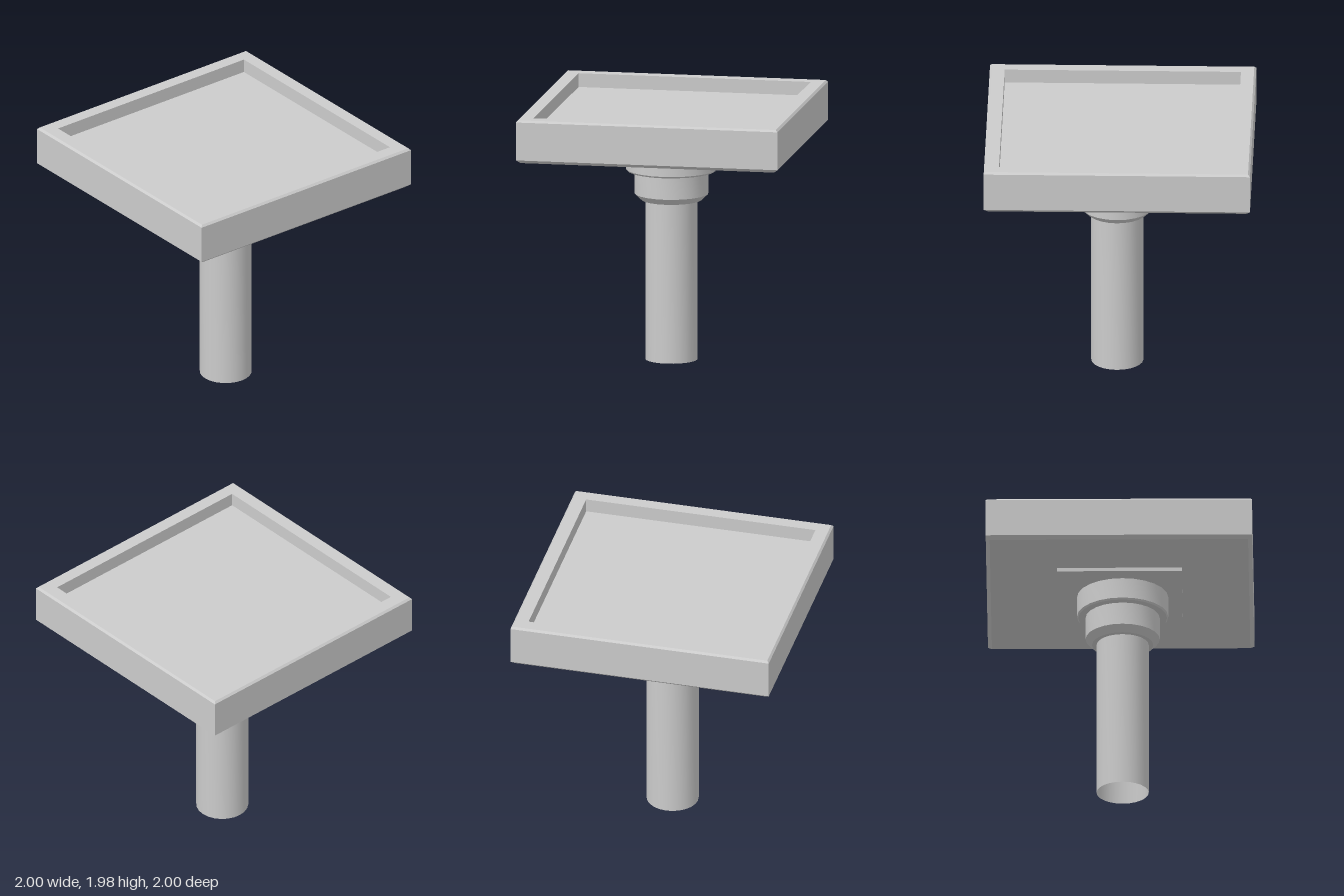
import * as THREE from 'three';
import { toCreasedNormals } from 'three/addons/utils/BufferGeometryUtils.js';

const material = new THREE.MeshStandardMaterial({ color: 0xcccccc });
const openMaterial = new THREE.MeshStandardMaterial({ color: 0xcccccc, side: THREE.DoubleSide });

// Profile of [radius, y] pairs turned about the y axis
function turned(name, profile, sides, mat = material) {
  const points = profile.map(([r, y]) => new THREE.Vector2(r, y));
  const geometry = toCreasedNormals(new THREE.LatheGeometry(points, sides), 0.5);
  const mesh = new THREE.Mesh(geometry, mat);
  mesh.name = name;
  return mesh;
}

// Square part: a four-sided turning, with profile given as [halfWidth, y]
function square(name, profile) {
  const mesh = turned(name, profile.map(([w, y]) => [w * Math.SQRT2, y]), 4);
  mesh.geometry.rotateY(Math.PI / 4);
  return mesh;
}

export function createModel() {
  const model = new THREE.Group();
  model.name = 'pedestalTray';

  // Chamfered square top with a recessed floor
  const top = square('trayTop', [
    [0, 1.645], [0.97, 1.645], [1, 1.67], [1, 1.96],
    [0.985, 1.975], [0.887, 1.975], [0.887, 1.87], [0, 1.87],
  ]);

  // Thin mounting plate under the top
  const plate = square('mountingPlate', [[0, 1.617], [0.468, 1.617], [0.468, 1.645], [0, 1.645]]);

  // Stepped collars and hollow post, set slightly off centre
  const pedestal = new THREE.Group();
  pedestal.name = 'pedestal';
  pedestal.position.x = 0.02;
  pedestal.add(
    turned('upperCollar', [[0.2, 1.445], [0.333, 1.445], [0.343, 1.457], [0.343, 1.617]], 24),
    turned('lowerCollar', [[0.19, 1.222], [0.23, 1.222], [0.279, 1.27], [0.279, 1.446]], 24),
    turned('post', [[0.196, 0], [0.196, 1.45]], 24, openMaterial),
  );

  model.add(top, plate, pedestal);
  return model;
}
